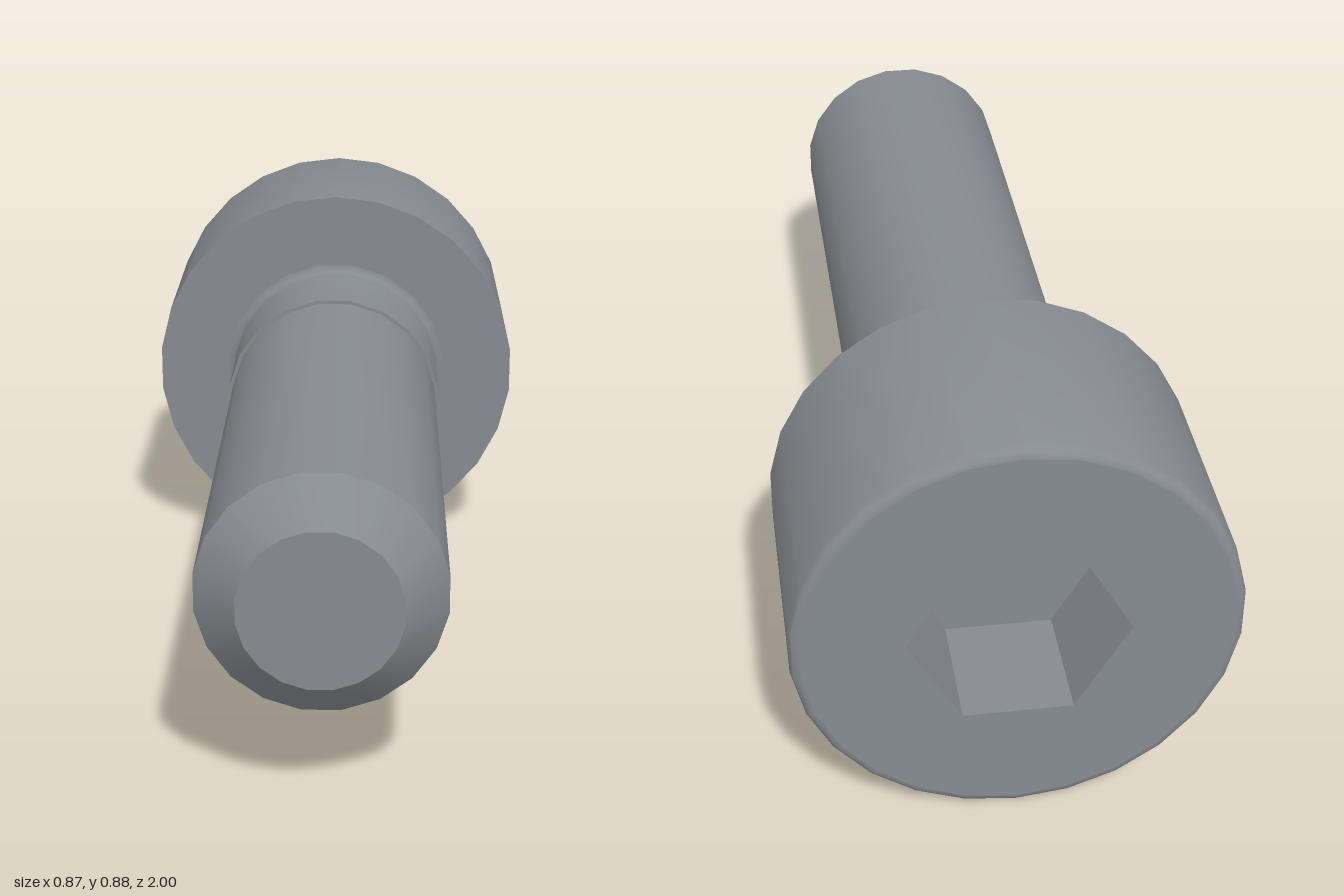
import * as THREE from 'three';
import { toCreasedNormals } from 'three/addons/utils/BufferGeometryUtils.js';

const AXIS_Y = 0.4375;
const HEAD_R = 0.4375, HEAD_SIDES = 26, ROUND = 0.02;
const SHANK_SIDES = 20, NECK_R = 0.25, THREAD_R = 0.242, TIP_R = 0.158;
const SOCKET_R = 0.217, SOCKET_DEPTH = 0.25;

// Turned part along z from [radius, z] points listed with rising z
function turned(points, sides, phase = 0) {
  const profile = points.map(([r, z]) => new THREE.Vector2(r, z));
  const geometry = new THREE.LatheGeometry(profile, sides, phase);
  geometry.rotateX(Math.PI / 2);
  return toCreasedNormals(geometry, 0.6);
}

// Quarter-round arc as [radius, z] points
function arc(r, z, size, from, to, steps = 4) {
  return Array.from({ length: steps + 1 }, (_, i) => {
    const a = from + (to - from) * i / steps;
    return [r + size * Math.cos(a), z + size * Math.sin(a)];
  });
}

function polygon(radius, sides, start) {
  return Array.from({ length: sides }, (_, i) => {
    const a = start + i * 2 * Math.PI / sides;
    return new THREE.Vector2(radius * Math.cos(a), radius * Math.sin(a));
  });
}

export function createModel() {
  const steel = new THREE.MeshStandardMaterial({ color: 0x868b90 });
  steel.name = 'steel grey';
  const bolt = new THREE.Group();
  bolt.name = 'socketHeadBolt';
  const add = (name, geometry) => {
    const mesh = new THREE.Mesh(geometry, steel);
    mesh.name = name;
    mesh.position.y = AXIS_Y;
    bolt.add(mesh);
    return mesh;
  };

  // Head: rounded rear rim, straight side and flat bearing face
  add('head', turned([
    ...arc(HEAD_R - ROUND, -1 + ROUND, ROUND, -Math.PI / 2, 0),
    [HEAD_R, -0.5], [0.2, -0.5],
  ], HEAD_SIDES));

  // Rear face, cut through by the hexagonal socket walls
  const face = new THREE.Shape(polygon(HEAD_R - ROUND, HEAD_SIDES, Math.PI / 2));
  face.holes.push(new THREE.Path(polygon(SOCKET_R, 6, 0)));
  const faceGeometry = new THREE.ExtrudeGeometry(face, { depth: SOCKET_DEPTH, bevelEnabled: false });
  add('headFace', faceGeometry).position.z = -1;

  const floor = add('socketFloor', new THREE.CircleGeometry(SOCKET_R, 6));
  floor.rotation.y = Math.PI;
  floor.position.z = -1 + SOCKET_DEPTH;

  // Neck: fillet under the head and the slightly wider plain length
  const phase = Math.PI / SHANK_SIDES;
  add('neck', turned([
    ...arc(NECK_R + 0.02, -0.48, 0.02, -Math.PI / 2, -Math.PI),
    [NECK_R, -0.24], [THREAD_R, -0.24],
  ], SHANK_SIDES, phase));

  // Shank with chamfered, closed tip
  add('shank', turned([
    [THREAD_R, -0.24], [THREAD_R, 0.915], [TIP_R, 1], [0, 1],
  ], SHANK_SIDES, phase));

  return bolt;
}
